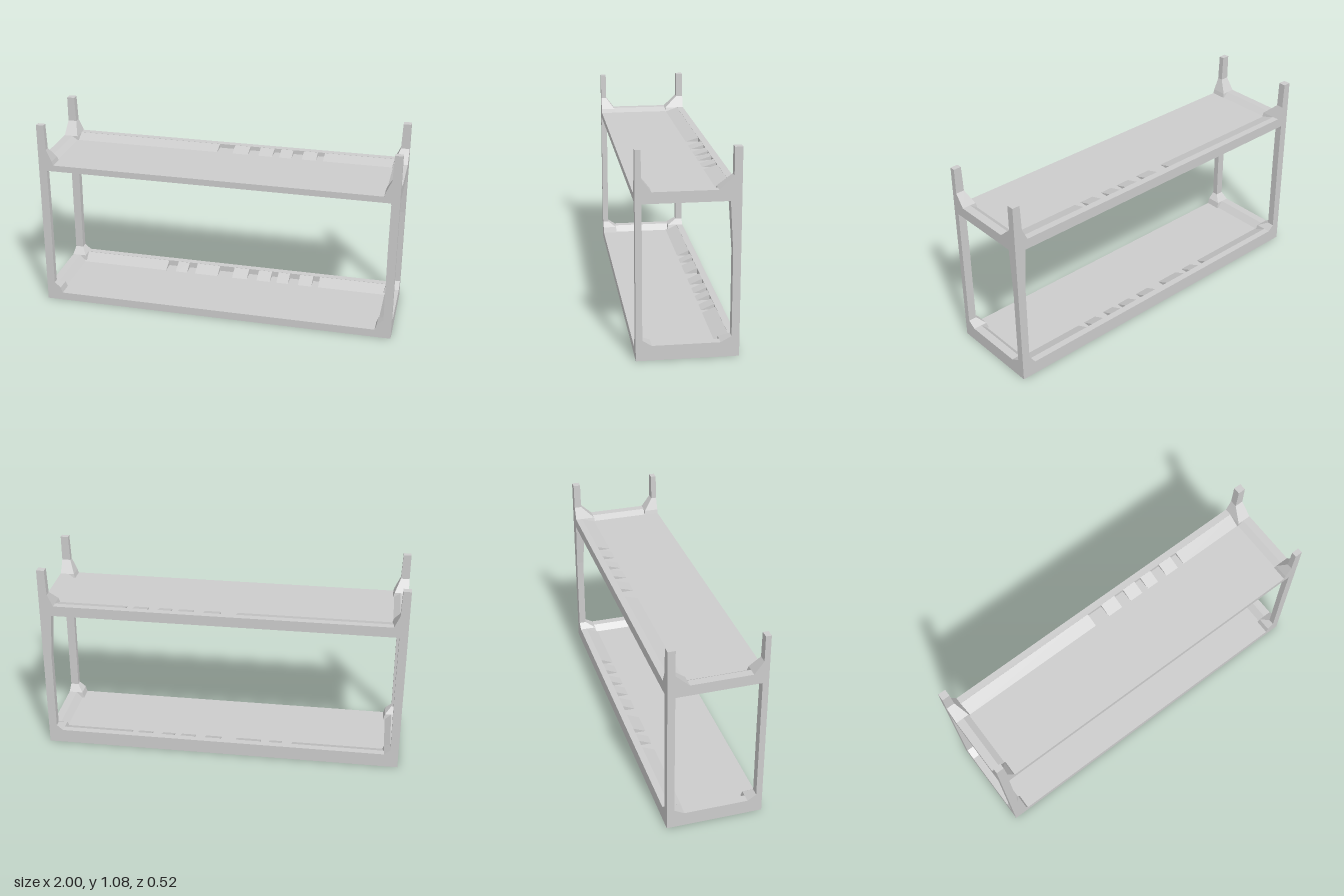
import * as THREE from 'three';

const material = new THREE.MeshStandardMaterial({ color: 0xcccccc, flatShading: true });

// Stacks rectangular sections [y, xA, xB, zA, zB] into a closed solid.
function loft(name, sections) {
  const pos = [], idx = [];
  for (const [y, xa, xb, za, zb] of sections) {
    const x0 = Math.min(xa, xb), x1 = Math.max(xa, xb);
    const z0 = Math.min(za, zb), z1 = Math.max(za, zb);
    pos.push(x0, y, z1, x1, y, z1, x1, y, z0, x0, y, z0);
  }
  const last = (sections.length - 1) * 4;
  for (let s = 0; s < last; s += 4) {
    for (let i = 0; i < 4; i++) {
      const a = s + i, b = s + (i + 1) % 4;
      idx.push(a, b, b + 4, a, b + 4, a + 4);
    }
  }
  idx.push(0, 2, 1, 0, 3, 2, last, last + 1, last + 2, last, last + 2, last + 3);
  const indexed = new THREE.BufferGeometry();
  indexed.setAttribute('position', new THREE.Float32BufferAttribute(pos, 3));
  indexed.setIndex(idx);
  const geometry = indexed.toNonIndexed();
  geometry.computeVertexNormals();
  const mesh = new THREE.Mesh(geometry, material);
  mesh.name = name;
  return mesh;
}

// Shelf slab, open at the front, with rims on the back and both ends.
function makeShelf(name, bottom, floor, rim, notches) {
  const shelf = new THREE.Group();
  shelf.name = name;
  shelf.add(loft('slab', [[bottom, -1, 1, -0.26, 0.26], [floor, -1, 1, -0.26, 0.26]]));
  shelf.add(loft('backRim', [[floor, -1, 1, -0.26, -0.222], [rim, -1, 1, -0.26, -0.222]]));
  for (const s of [-1, 1]) {
    shelf.add(loft('endRim', [
      [floor, s, s * 0.92, -0.26, 0.26], [rim, s, s * 0.955, -0.26, 0.26],
    ]));
  }
  // Sloped ramp along the back rim, interrupted by the notches
  let start = -0.96;
  for (const [a, b] of [...notches, [0.96, 0.96]]) {
    shelf.add(loft('backRamp', [[floor, start, a, -0.26, -0.15], [rim, start, a, -0.26, -0.225]]));
    start = b;
  }
  return shelf;
}

export function createModel() {
  const model = new THREE.Group();
  model.name = 'shelfRack';

  const right = [[0.1, 0.16], [0.24, 0.28], [0.35, 0.41], [0.49, 0.53]];
  model.add(makeShelf('lowerShelf', 0, 0.045, 0.078,
    [[-0.4, -0.34], [-0.27, -0.22], [-0.08, 0.01], ...right]));
  model.add(makeShelf('upperShelf', 0.81, 0.845, 0.868, [[-0.08, 0.01], ...right]));

  // Corner posts flare into the shelves
  for (const sx of [-1, 1]) {
    for (const sz of [-1, 1]) {
      const post = new THREE.Group();
      post.name = (sz > 0 ? 'front' : 'back') + (sx > 0 ? 'Left' : 'Right') + 'Post';
      const at = (y, ix, iz) => [y, sx, sx * ix, sz * 0.26, sz * iz];
      const back = sz < 0;
      const thin = back ? 0.22 : 0.227;
      const flared = back && sx > 0;
      post.add(loft('lowerPost', [
        at(0.02, 0.91, back ? 0.16 : 0.175),
        at(0.045, 0.91, back ? 0.16 : 0.175),
        at(0.078, 0.92, back ? 0.165 : 0.18),
        at(0.108, 0.955, thin),
        at(0.55, 0.953, thin),
        at(0.8, flared ? 0.938 : 0.955, flared ? 0.205 : thin),
        at(0.83, flared ? 0.936 : 0.95, flared ? 0.2 : thin),
      ]));
      post.add(loft('upperPost', [
        at(0.82, 0.915, back ? 0.145 : 0.175),
        at(0.845, 0.915, back ? 0.145 : 0.175),
        at(0.868, 0.922, back ? 0.147 : 0.18),
        at(0.935, 0.952, back ? 0.22 : 0.23),
        at(1.077, 0.957, back ? 0.22 : 0.23),
      ]));
      model.add(post);
    }
  }
  return model;
}
